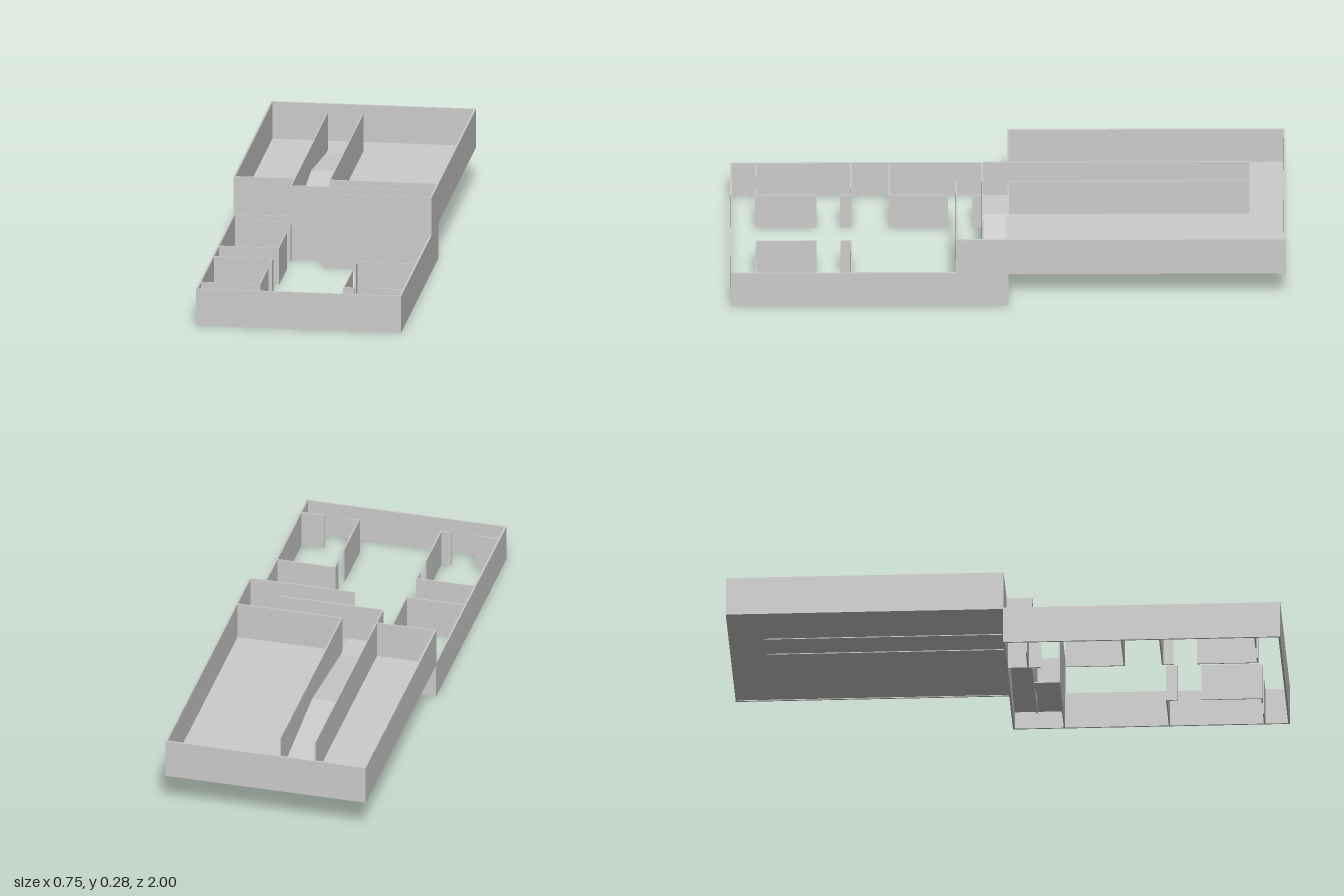
import * as THREE from 'three';

export function createModel() {
  const model = new THREE.Group();
  const mat = new THREE.MeshStandardMaterial({ color: 0xcccccc, side: THREE.DoubleSide });
  const OUT = 0.007, IN = 0.005;          // wall thicknesses
  const LOW = [0.003, 0.14], UP = [0.135, 0.28], FULL = [0.003, 0.28];

  // axis-aligned box given by its limits
  function block(name, x0, x1, y0, y1, z0, z1) {
    const mesh = new THREE.Mesh(new THREE.BoxGeometry(x1 - x0, y1 - y0, z1 - z0), mat);
    mesh.position.set((x0 + x1) / 2, (y0 + y1) / 2, (z0 + z1) / 2);
    mesh.name = name;
    model.add(mesh);
  }
  // wall running along x at a given z, or along z at a given x
  const wallX = (name, z, x0, x1, [y0, y1], t = IN) => block(name, x0, x1, y0, y1, z - t / 2, z + t / 2);
  const wallZ = (name, x, z0, z1, [y0, y1], t = IN) => block(name, x - t / 2, x + t / 2, y0, y1, z0, z1);

  // profile in the x-y plane extruded along z
  function prism(name, points, depth) {
    const shape = new THREE.Shape(points.map(([x, y]) => new THREE.Vector2(x, y)));
    const mesh = new THREE.Mesh(new THREE.ExtrudeGeometry(shape, { depth, bevelEnabled: false }), mat);
    mesh.name = name;
    model.add(mesh);
    return mesh;
  }

  const W = 0.373, E = W - OUT / 2;

  // lower storey shell, open at top and bottom
  for (const s of [-1, 1]) wallZ('lowerSideWall', s * E, 0, 1, LOW, OUT);
  wallX('lowerFrontWall', 1 - OUT / 2, -W, W, LOW, OUT);
  wallX('lowerBackWall', OUT / 2, -W, W, LOW, OUT);

  // two mirrored front rooms
  for (const s of [-1, 1]) {
    const across = (z, a, b) => wallX('frontRoomWall', z, Math.min(s * a, s * b), Math.max(s * a, s * b), LOW);
    across(0.565, 0.15, E);
    across(0.908, 0.15, 0.192);
    across(0.908, 0.28, E);
    wallZ('frontRoomWall', s * 0.153, 0.565, 0.605, LOW);
    wallZ('frontRoomWall', s * 0.153, 0.69, 0.91, LOW);
  }

  // rear side room
  wallX('rearRoomWall', 0.427, -E, -0.148, LOW);
  wallZ('rearRoomWall', -0.151, 0.215, 0.427, LOW);
  wallZ('rearRoomWall', -0.151, 0, 0.128, LOW);
  wallX('rearRoomPartition', 0.08, -0.28, -0.151, LOW);

  // upper storey shell and floor
  block('upperFloor', -E, E, 0.138, 0.142, -1 + OUT / 2, 0);
  wallZ('upperSideWall', -E, -1, 0, UP, OUT);
  wallZ('upperSideWall', E, -1, 0.188, UP, OUT);
  wallX('upperBackWall', -1 + OUT / 2, -W, W, UP, OUT);
  wallX('upperFrontWall', 0, -W, -0.149, UP);
  wallX('upperFrontWall', 0, -0.022, W, UP);

  // central corridor
  wallZ('corridorWall', -0.151, -0.87, 0.092, UP);
  wallZ('corridorWall', -0.022, -0.87, 0, UP);
  const hump = prism('corridorDoubleRamp', [[-0.84, 0.141], [-0.02, 0.141], [-0.43, 0.19]], 0.126);
  hump.rotation.y = -Math.PI / 2;         // profile x becomes z
  hump.position.x = -0.024;

  // stairwell with two ramp flights and landings
  wallX('stairwellFrontWall', 0.186, -0.022, W, FULL);
  wallX('stairwellDivider', 0.092, -0.151, 0.24, FULL);
  const T = 0.004, MID = 0.072;
  prism('lowerRamp', [[-0.02, 0.003], [0.24, MID - T], [0.24, MID], [-0.02, 0.003 + T]], 0.094).position.z = 0.092;
  prism('upperRamp', [[-0.02, 0.142 - T], [0.24, MID - T], [0.24, MID], [-0.02, 0.142]], 0.092);
  block('middleLanding', 0.24, E, MID - T, MID, 0, 0.186);
  block('topLanding', -0.151, -0.02, 0.142 - T, 0.142, 0, 0.092);

  return model;
}
